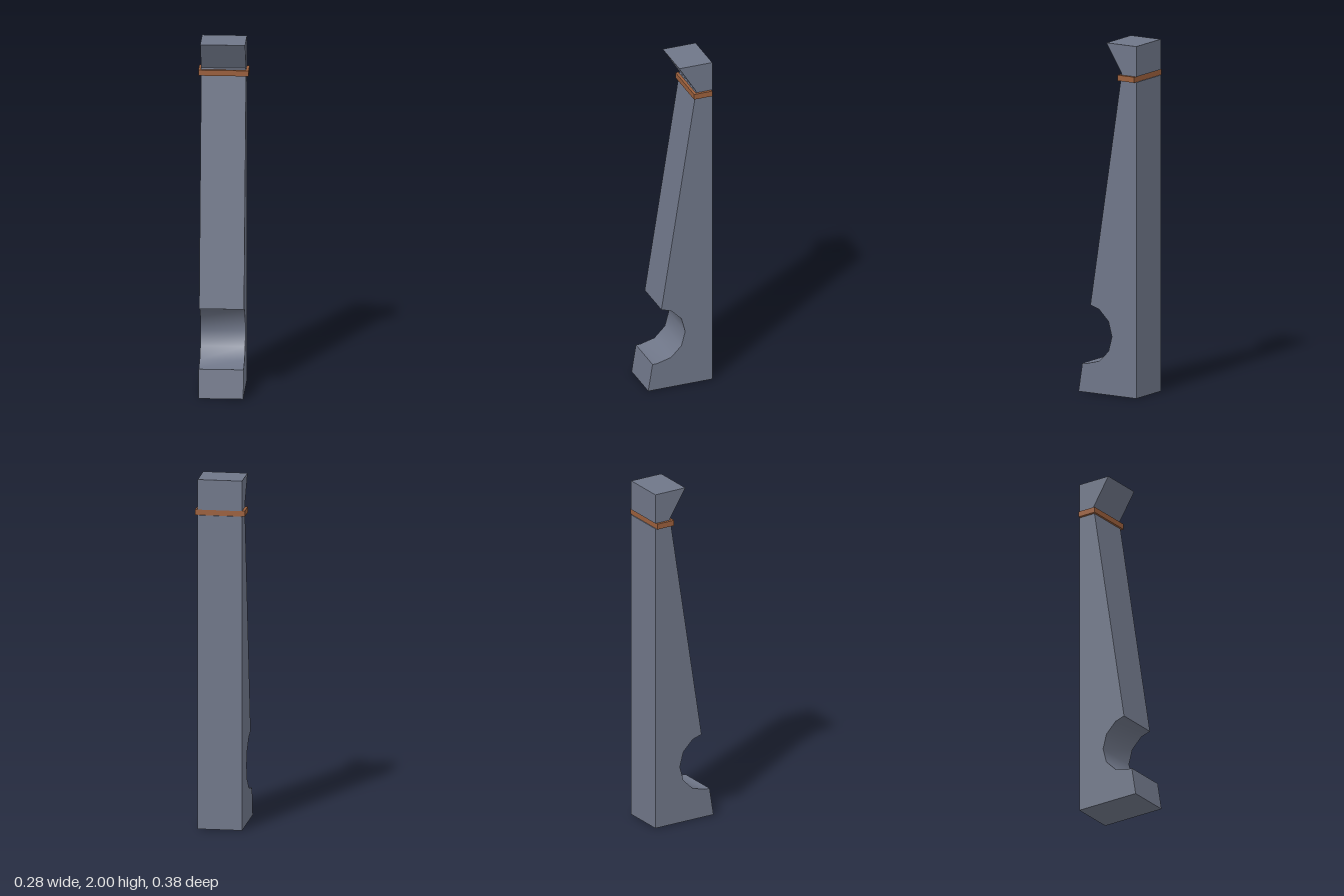
import * as THREE from 'three';
import { toCreasedNormals } from 'three/addons/utils/BufferGeometryUtils.js';

export function createModel() {
  const group = new THREE.Group();
  const slate = new THREE.MeshStandardMaterial({ color: 0x6f7688 });
  slate.name = 'slate';
  const copper = new THREE.MeshStandardMaterial({ color: 0x9a5f3c });
  copper.name = 'copper';

  const width = 0.25, back = -0.192;
  const bandLow = 1.796, bandHigh = 1.828, bandBack = -0.187, bandFront = -0.077;

  // Side profile as (z, y): foot, round hollow, tapering front, flared head
  const profile = [[back, 0], [0.192, 0], [0.166, 0.163]];
  for (let i = 0; i <= 5; i++) {
    const a = -Math.PI / 2 - (i * Math.PI) / 6;
    profile.push([0.14 + 0.17 * Math.cos(a), 0.333 + 0.17 * Math.sin(a)]);
  }
  profile.push([0.113, 0.498], [-0.095, 1.838], [0.006, 2], [back, 2]);
  // Shallow groove in the back that seats the band
  profile.push([back, bandHigh], [bandBack + 0.002, bandHigh], [bandBack + 0.002, bandLow], [back, bandLow]);

  const shape = new THREE.Shape(profile.map(([z, y]) => new THREE.Vector2(z, y)));
  const bodyGeometry = new THREE.ExtrudeGeometry(shape, { depth: width, bevelEnabled: false });
  bodyGeometry.translate(0, 0, -width / 2);
  bodyGeometry.rotateY(-Math.PI / 2);
  const body = new THREE.Mesh(toCreasedNormals(bodyGeometry, 0.6), slate);
  body.name = 'pilasterBody';
  group.add(body);

  // Band around the neck
  const band = new THREE.Mesh(
    new THREE.BoxGeometry(0.28, bandHigh - bandLow, bandFront - bandBack), copper);
  band.position.set(0, (bandLow + bandHigh) / 2, (bandFront + bandBack) / 2);
  band.name = 'neckBand';
  group.add(band);

  return group;
}
